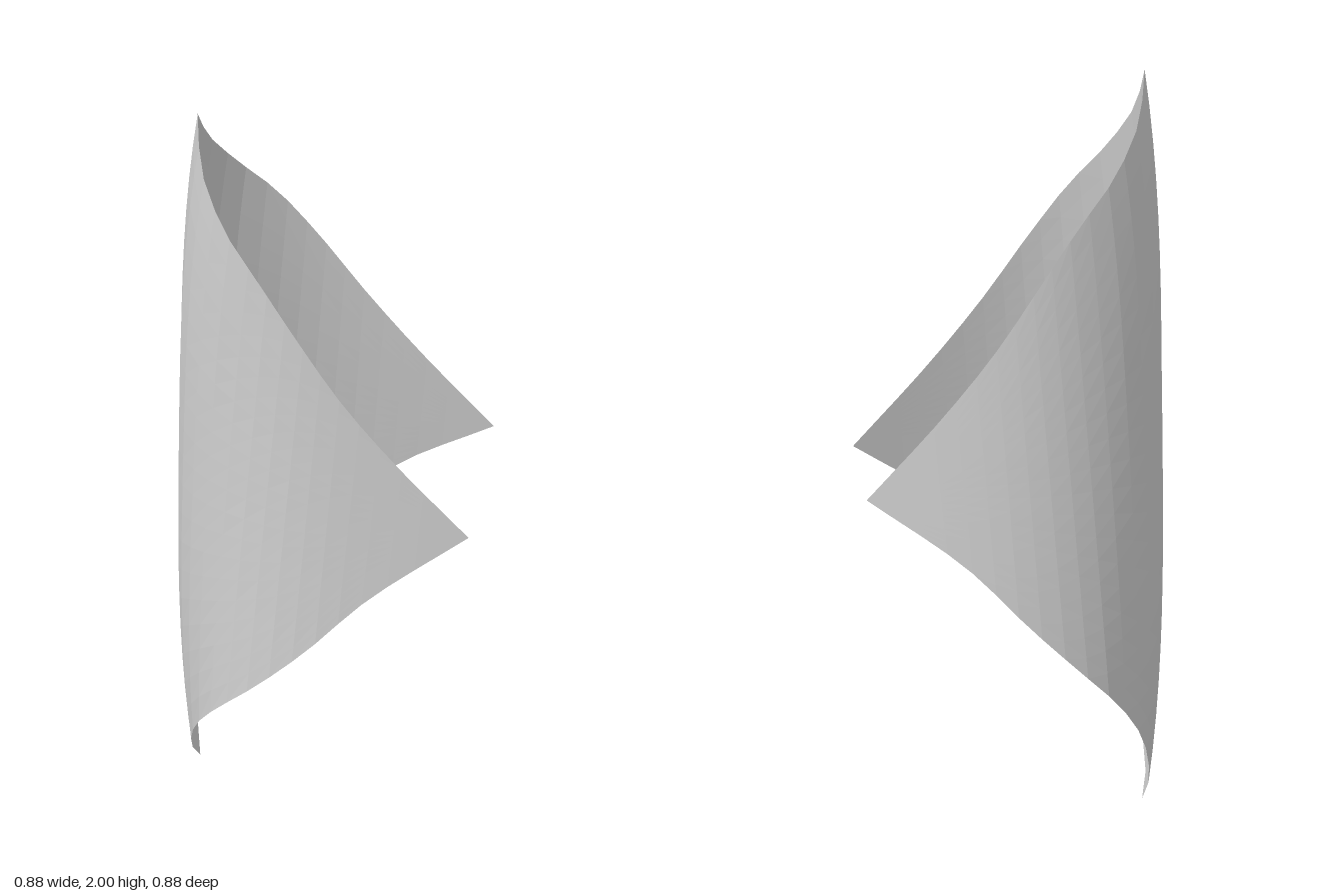
import * as THREE from 'three';

// Edge points as [sideways, height, outward], from the spine to the side corner
const TOP_EDGE = [
  [0, 2, 0.417], [0.078, 1.89, 0.4], [0.12, 1.83, 0.375], [0.178, 1.74, 0.32], [0.23, 1.63, 0.23],
  [0.265, 1.48, 0.124], [0.283, 1.3, 0], [0.286, 1.12, -0.145], [0.283, 0.905, -0.34],
];
const BOTTOM_EDGE = [
  [0, 0, 0.41], [0.07, 0.07, 0.424], [0.187, 0.2, 0.405], [0.255, 0.28, 0.368], [0.3125, 0.355, 0.3125],
  [0.357, 0.45, 0.216], [0.371, 0.57, 0.088], [0.346, 0.73, -0.078], [0.283, 0.905, -0.34],
];
const HALF = 16; // strips on each side of the spine
const ROWS = 20;

const edgeCurve = (points) =>
  new THREE.CatmullRomCurve3(points.map((p) => new THREE.Vector3(...p)));

// Four-cornered sheet made of upright strips running from bottom edge to top edge
function sheetGeometry() {
  const top = edgeCurve(TOP_EDGE);
  const bottom = edgeCurve(BOTTOM_EDGE);
  const positions = [];
  const index = [];
  for (let i = -HALF; i <= HALF; i++) {
    const f = Math.abs(i) / HALF;
    const low = bottom.getPointAt(f);
    const high = top.getPointAt(f);
    // the back of the curl swells slightly between its two corners
    const swell = 0.048 * Math.cos(Math.min(f / 0.42, 1) * Math.PI / 2) ** 2;
    for (let j = 0; j <= ROWS; j++) {
      const t = j / ROWS;
      const p = low.clone().lerp(high, t);
      p.x *= Math.sign(i);
      p.z += swell * (1 - Math.abs(2 * t - 1) ** 3);
      positions.push(p.x, p.y, p.z);
      if (i < HALF && j < ROWS) {
        const a = (i + HALF) * (ROWS + 1) + j;
        const b = a + ROWS + 1;
        index.push(a, b, b + 1, a, b + 1, a + 1);
      }
    }
  }
  const geometry = new THREE.BufferGeometry();
  geometry.setAttribute('position', new THREE.Float32BufferAttribute(positions, 3));
  geometry.setIndex(index);
  geometry.computeVertexNormals();
  return geometry;
}

export function createModel() {
  const model = new THREE.Group();
  model.name = 'curledSheetModel';
  const material = new THREE.MeshStandardMaterial({
    color: 0xcccccc, flatShading: true, side: THREE.DoubleSide,
  });
  const sheet = new THREE.Mesh(sheetGeometry(), material);
  sheet.name = 'curledSheet';
  sheet.rotation.y = -Math.PI / 4; // back of the curl faces front and -x
  model.add(sheet);
  return model;
}
